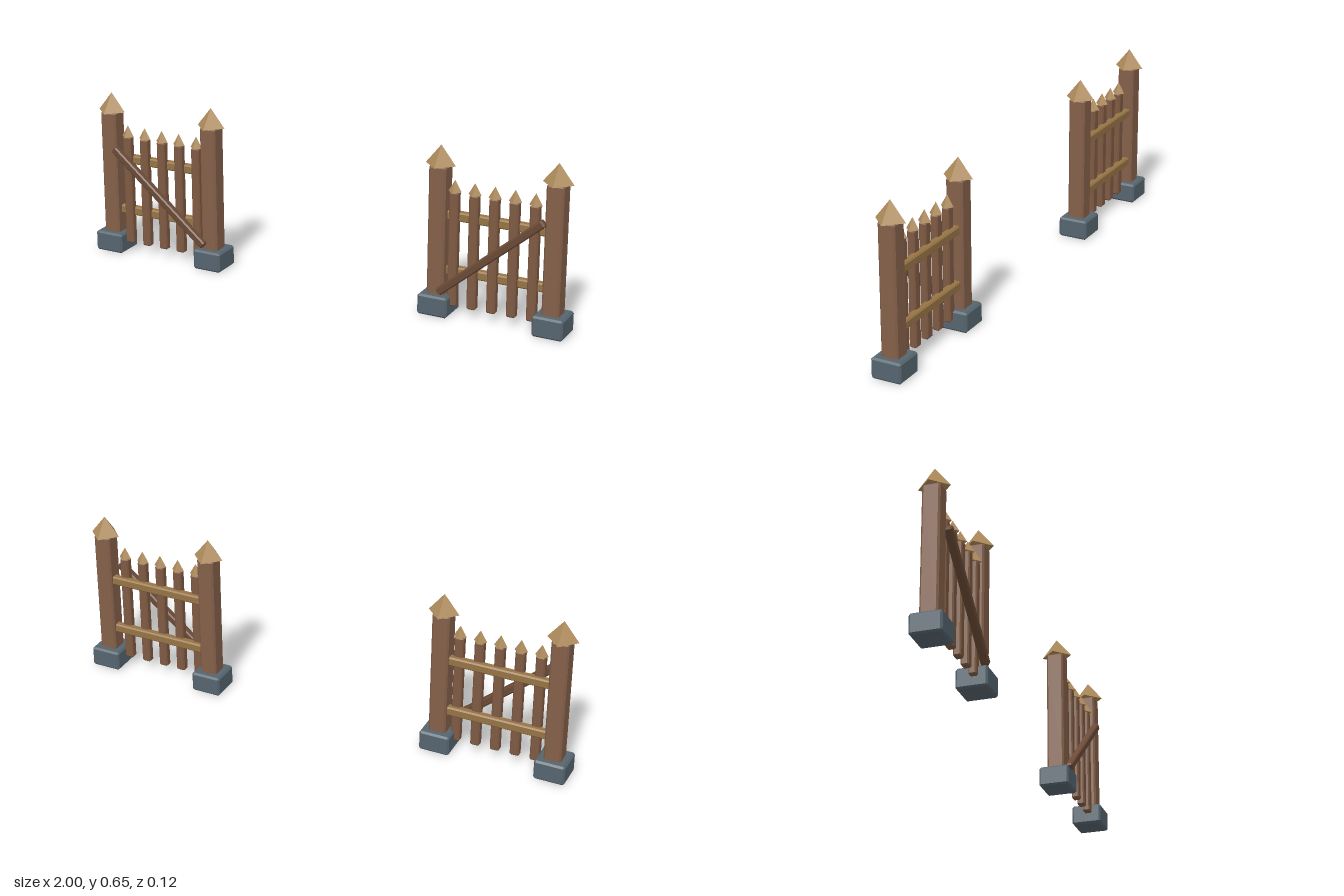
import * as THREE from 'three';
import { ConvexGeometry } from 'three/addons/geometries/ConvexGeometry.js';

const paint = (color) => new THREE.MeshStandardMaterial({ color, flatShading: true });
const STONE = paint(0x56656f);
const POST = paint(0x85604a);
const PICKET = paint(0x7f5a43);
const BRACE = paint(0x6b4a36);
const RAIL = paint(0x967445);
const TIP = paint(0xb08c5c);

// Box with all edges chamfered by c
function chamferBox(w, h, d, c) {
  const points = [];
  const half = [w / 2, h / 2, d / 2];
  for (const sx of [-1, 1]) for (const sy of [-1, 1]) for (const sz of [-1, 1]) {
    const s = [sx, sy, sz];
    for (let full = 0; full < 3; full++) {
      points.push(new THREE.Vector3(...half.map((v, i) => s[i] * (i === full ? v : v - c))));
    }
  }
  return new ConvexGeometry(points);
}

function add(parent, name, geometry, material, x, y, z) {
  const mesh = new THREE.Mesh(geometry, material);
  mesh.name = name;
  mesh.position.set(x, y, z);
  parent.add(mesh);
  return mesh;
}

// One fence panel; side is -1 or +1, distances are measured outward from the centre
function createPanel(side) {
  const panel = new THREE.Group();
  panel.name = side > 0 ? 'leftPanel' : 'rightPanel';

  // Posts on stone footings with pointed caps
  for (const out of [0.485, 0.94]) {
    const x = side * out;
    add(panel, 'footing', chamferBox(0.12, 0.08, 0.12, 0.007), STONE, x, 0.04, 0);
    add(panel, 'post', chamferBox(0.068, 0.507, 0.068, 0.007), POST, x, 0.3245, 0);
    add(panel, 'postCap', new THREE.ConeGeometry(0.06, 0.075, 4), TIP, x, 0.6145, 0);
  }

  // Pickets with pointed tips
  const middle = 0.705;
  for (let i = -2; i <= 2; i++) {
    const x = side * (middle + i * 0.0785);
    add(panel, 'picket', chamferBox(0.036, 0.445, 0.03, 0.005), PICKET, x, 0.2625, 0.01);
    add(panel, 'picketTip', new THREE.ConeGeometry(0.026, 0.045, 4), TIP, x, 0.5075, 0.01);
  }

  // Horizontal rails behind the pickets
  for (const y of [0.172, 0.387]) {
    add(panel, 'rail', chamferBox(0.41, 0.035, 0.03, 0.005), RAIL, side * 0.7125, y, -0.007);
  }

  // Diagonal brace across the front, rising outward
  const brace = add(panel, 'brace', chamferBox(0.527, 0.03, 0.03, 0.005), BRACE, side * 0.706, 0.266, 0.04);
  brace.rotation.z = side * 0.698;
  return panel;
}

export function createModel() {
  const model = new THREE.Group();
  model.name = 'fenceGateway';
  for (const side of [-1, 1]) model.add(createPanel(side));
  return model;
}
